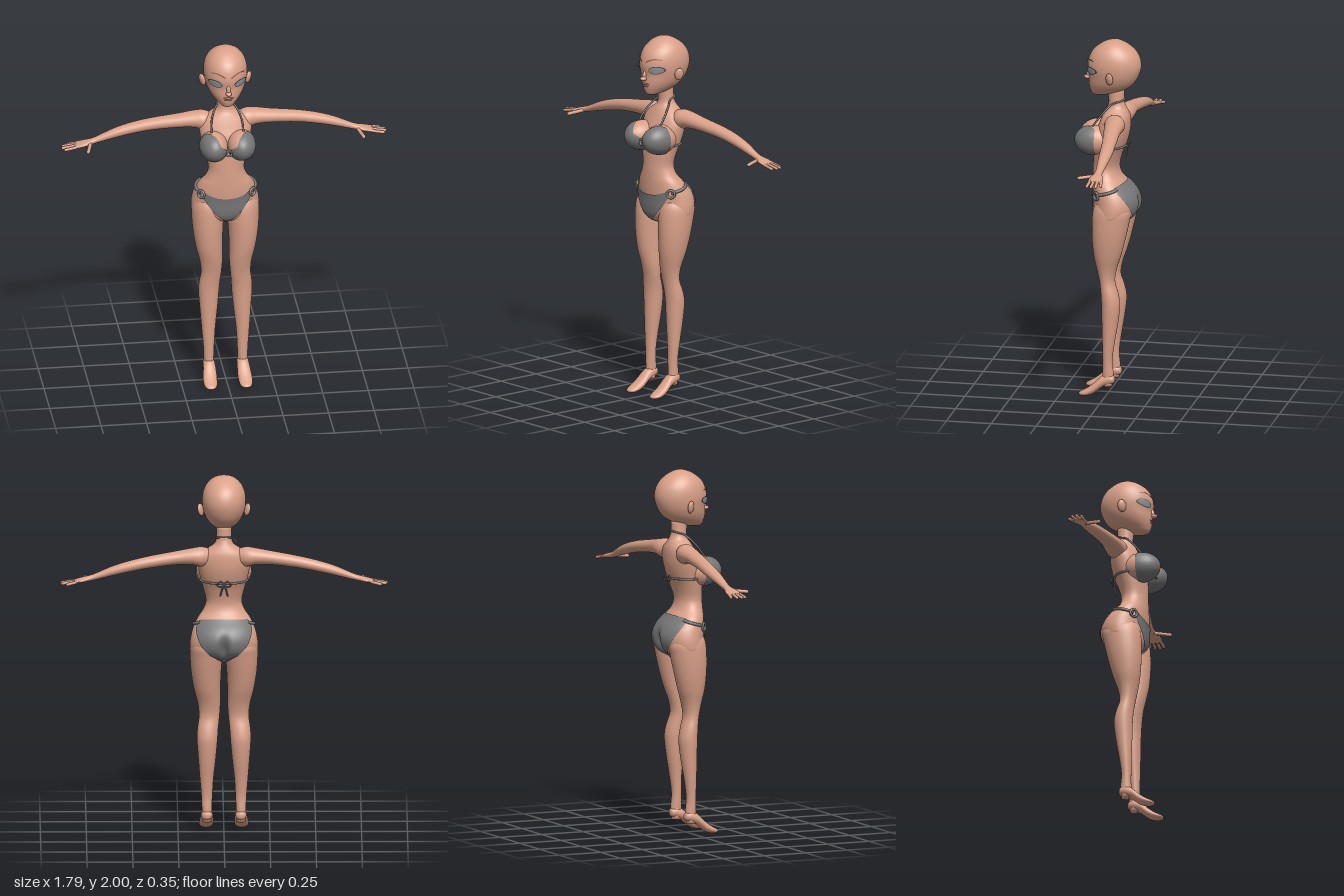
import * as THREE from 'three';

const mat = (name, color, side = THREE.FrontSide) => {
  const m = new THREE.MeshStandardMaterial({ color, side });
  m.name = name;
  return m;
};

// Smooth interpolation through rows [t, centre, halfWidth, front, back]
function sample(rows, t) {
  let i = 0;
  while (i < rows.length - 2 && t > rows[i + 1][0]) i++;
  const A = rows[i], B = rows[i + 1], h = B[0] - A[0], s = (t - A[0]) / h;
  const P = rows[Math.max(i - 1, 0)], N = rows[Math.min(i + 2, rows.length - 1)];
  return [1, 2, 3, 4].map((k) => {
    const m0 = (B[k] - P[k]) / (B[0] - P[0]) * h, m1 = (N[k] - A[k]) / (N[0] - A[0]) * h;
    return (2 * s ** 3 - 3 * s * s + 1) * A[k] + (s ** 3 - 2 * s * s + s) * m0
      + (3 * s * s - 2 * s ** 3) * B[k] + (s ** 3 - s * s) * m1;
  });
}

// Point on an elliptical skin: returns [t, p, q], angle 0 faces front
function skinPoint(rows, t, a, off = 0) {
  const [c, r, f, b] = sample(rows, t);
  const h = (f - b) / 2, sx = Math.sin(a), cz = Math.cos(a);
  const n = Math.hypot(sx * h, cz * r) || 1;
  return [t, c + r * sx + off * sx * h / n, (f + b) / 2 + h * cz + off * cz * r / n];
}

// Grid of points; closed tubes get caps and are turned to face outward
function grid(fn, nu, nv, closed) {
  const pos = [], idx = [], w = closed ? nu : nu + 1;
  for (let j = 0; j <= nv; j++) for (let i = 0; i < w; i++) pos.push(...fn(i / nu, j / nv));
  for (let j = 0; j < nv; j++) for (let i = 0; i < nu; i++) {
    const a = j * w + i, b = j * w + (i + 1) % w, c = a + w, d = b + w;
    idx.push(a, b, d, a, d, c);
  }
  if (closed) {
    for (const j of [0, nv]) {
      const mid = [0, 0, 0], k = pos.length / 3;
      for (let i = 0; i < w; i++) for (let e = 0; e < 3; e++) mid[e] += pos[(j * w + i) * 3 + e] / w;
      pos.push(...mid);
      for (let i = 0; i < w; i++) {
        const a = j * w + i, b = j * w + (i + 1) % w;
        idx.push(k, ...(j ? [a, b] : [b, a]));
      }
    }
    let volume = 0;
    const v = (i) => new THREE.Vector3().fromArray(pos, i * 3);
    for (let i = 0; i < idx.length; i += 3) volume += v(idx[i]).dot(v(idx[i + 1]).cross(v(idx[i + 2])));
    if (volume < 0) idx.reverse();
  }
  const g = new THREE.BufferGeometry();
  g.setAttribute('position', new THREE.Float32BufferAttribute(pos, 3));
  g.setIndex(idx);
  g.computeVertexNormals();
  return g;
}

const TORSO = [
  [0.965, 0, 0.05, 0.02, -0.07], [0.98, 0, 0.12, 0.05, -0.1], [1.01, 0, 0.178, 0.07, -0.14],
  [1.05, 0, 0.186, 0.078, -0.165], [1.1, 0, 0.181, 0.081, -0.169], [1.15, 0, 0.168, 0.085, -0.147],
  [1.2, 0, 0.143, 0.086, -0.1], [1.24, 0, 0.114, 0.086, -0.07], [1.29, 0, 0.098, 0.085, -0.06],
  [1.36, 0, 0.112, 0.083, -0.076], [1.42, 0, 0.128, 0.08, -0.1], [1.48, 0, 0.14, 0.07, -0.115],
  [1.53, 0, 0.143, 0.05, -0.118], [1.57, 0, 0.122, 0.033, -0.115], [1.6, 0, 0.08, 0.018, -0.105],
  [1.62, 0, 0.053, 0.006, -0.096], [1.65, 0, 0.043, 0, -0.086], [1.72, 0, 0.042, 0.01, -0.085]];
const HEAD = [
  [1.685, 0, 0.018, 0.082, 0.03], [1.69, 0, 0.034, 0.092, 0], [1.705, 0, 0.053, 0.1, -0.055],
  [1.73, 0, 0.077, 0.107, -0.11], [1.76, 0, 0.096, 0.11, -0.143], [1.8, 0, 0.111, 0.109, -0.166],
  [1.85, 0, 0.119, 0.116, -0.179], [1.9, 0, 0.115, 0.107, -0.171], [1.94, 0, 0.1, 0.085, -0.146],
  [1.97, 0, 0.076, 0.05, -0.11], [1.985, 0, 0.055, 0.024, -0.083], [1.995, 0, 0.031, -0.004, -0.06],
  [2, 0, 0.002, -0.028, -0.032]];
const LEG = [
  [0.06, 0.093, 0.024, 0.02, -0.038], [0.12, 0.093, 0.027, 0.016, -0.045], [0.2, 0.093, 0.03, 0.015, -0.038],
  [0.3, 0.094, 0.037, 0.017, -0.05], [0.42, 0.092, 0.048, 0.02, -0.07], [0.52, 0.091, 0.056, 0.022, -0.08],
  [0.58, 0.088, 0.057, 0.026, -0.07], [0.65, 0.08, 0.056, 0.035, -0.05], [0.72, 0.081, 0.062, 0.05, -0.06],
  [0.8, 0.091, 0.072, 0.065, -0.086], [0.9, 0.097, 0.082, 0.073, -0.112], [1, 0.097, 0.088, 0.073, -0.134],
  [1.06, 0.099, 0.082, 0.066, -0.14], [1.1, 0.1, 0.06, 0.05, -0.1]];
const FOOT = [
  [-0.052, 0.093, 0.01, 0.106, 0.088], [-0.045, 0.093, 0.024, 0.12, 0.077], [-0.02, 0.093, 0.031, 0.13, 0.068],
  [0.02, 0.093, 0.034, 0.115, 0.05], [0.06, 0.095, 0.038, 0.077, 0.018], [0.09, 0.097, 0.038, 0.052, 0.004],
  [0.12, 0.097, 0.033, 0.033, 0], [0.14, 0.097, 0.021, 0.022, 0.003], [0.147, 0.097, 0.006, 0.015, 0.008]];
const ARM = [
  [0.07, 1.55, 0.04, -0.015, -0.09], [0.12, 1.55, 0.054, 0, -0.114], [0.17, 1.553, 0.046, -0.01, -0.118],
  [0.25, 1.547, 0.038, -0.022, -0.115], [0.4, 1.527, 0.033, -0.045, -0.123], [0.5, 1.507, 0.031, -0.055, -0.127],
  [0.6, 1.481, 0.027, -0.062, -0.122], [0.7, 1.447, 0.018, -0.07, -0.111], [0.73, 1.438, 0.016, -0.066, -0.113],
  [0.77, 1.429, 0.014, -0.051, -0.127], [0.81, 1.42, 0.01, -0.049, -0.131], [0.825, 1.417, 0.005, -0.056, -0.124]];

export function createModel() {
  const root = new THREE.Group();
  root.name = 'figure';
  const skin = mat('skin', 0xd9a088), cloth = mat('swimwear grey', 0x777777, THREE.DoubleSide);
  const eyeMat = mat('eye grey', 0x8c969b, THREE.DoubleSide), lash = mat('lash dark', 0x4c3e3a, THREE.DoubleSide);
  const browMat = mat('brow brown', 0x9a6250, THREE.DoubleSide), lipMat = mat('lip rose', 0xb9786a);

  const add = (name, geo, m) => {
    const mesh = new THREE.Mesh(geo, m);
    mesh.name = name;
    root.add(mesh);
    return mesh;
  };
  const loft = (name, rows, map, nu = 40) => {
    const n = rows.length - 1;
    return add(name, grid((u, v) => {
      const i = Math.min(Math.floor(v * n), n - 1), s = v * n - i;
      const t = rows[i][0] + (rows[i + 1][0] - rows[i][0]) * s;
      return map(...skinPoint(rows, t, u * Math.PI * 2));
    }, nu, n * 4, true), skin);
  };
  const ball = (name, m, [x, y, z], [a, b, c]) => {
    const mesh = add(name, new THREE.SphereGeometry(1, 32, 20), m);
    mesh.position.set(x, y, z);
    mesh.scale.set(a, b, c);
    return mesh;
  };
  const tube = (name, pts, r, m = cloth) => add(name, new THREE.TubeGeometry(
    new THREE.CatmullRomCurve3(pts.map((p) => new THREE.Vector3(...p))), 32, r, 8), m);
  const upright = (t, p, q) => [p, t, q];
  // Buttock crease pressed into the lower back
  const bodyMap = (t, p, q) => [p, t, q + (q < -0.04
    ? 0.035 * Math.exp(-((p / 0.025) ** 2) - ((t - 1.05) / 0.06) ** 2) : 0)];
  const onBody = (y, a, off) => bodyMap(...skinPoint(TORSO, y, a, off));
  const onFace = (x, y, off) => upright(...skinPoint(HEAD, y, Math.asin(x / sample(HEAD, y)[1]), off));

  loft('torso', TORSO, bodyMap, 64);
  loft('head', HEAD, upright, 56);

  // Nose and lips
  ball('noseBridge', skin, [0, 1.802, 0.105], [0.011, 0.032, 0.018]).rotation.x = -0.3;
  ball('noseTip', skin, [0, 1.78, 0.117], [0.016, 0.012, 0.022]);
  ball('upperLip', lipMat, [0, 1.749, 0.104], [0.027, 0.006, 0.013]);
  ball('lowerLip', lipMat, [0, 1.738, 0.102], [0.021, 0.007, 0.013]);

  for (const s of [1, -1]) {
    const side = s > 0 ? 'left' : 'right';
    // Limbs
    loft(side + 'Leg', LEG, (t, p, q) => [s * p, t, q]);
    loft(side + 'Foot', FOOT, (t, p, q) => [s * p, q, t], 28);
    loft(side + 'Arm', ARM, (t, p, q) => [s * t, p, q], 32);
    const digits = [[0.8, 1.422, -0.121, 0.853, 1.41, -0.13], [0.81, 1.422, -0.102, 0.88, 1.411, -0.107],
      [0.81, 1.422, -0.081, 0.885, 1.411, -0.082], [0.8, 1.422, -0.06, 0.873, 1.41, -0.057],
      [0.735, 1.432, -0.07, 0.757, 1.422, 0.01]];
    digits.forEach(([x, y, z, X, Y, Z], i) => {
      const A = new THREE.Vector3(s * x, y, z), B = new THREE.Vector3(s * X, Y, Z);
      const f = add(side + (i < 4 ? 'Finger' + (i + 1) : 'Thumb'),
        new THREE.CapsuleGeometry(i < 4 ? 0.0085 : 0.01, A.distanceTo(B), 4, 10), skin);
      f.position.copy(A).lerp(B, 0.5);
      f.quaternion.setFromUnitVectors(new THREE.Vector3(0, 1, 0), B.sub(A).normalize());
    });

    // Ears, eyes and brows
    const ear = ball(side + 'Ear', skin, [s * 0.127, 1.806, -0.028], [0.013, 0.035, 0.024]);
    ear.rotation.set(-0.15, s * -0.5, s * -0.25);
    const disc = (rx, ry, off) => grid((u, v) => {
      const a = u * Math.PI * 2, x = 0.066 + rx * v * Math.cos(a);
      return onFace(s * x, 1.833 + ry * v * Math.sin(a) + 0.12 * (x - 0.066), off);
    }, 32, 6);
    add(side + 'EyeRim', disc(0.035, 0.022, 0.003), lash);
    add(side + 'Eye', disc(0.031, 0.018, 0.006), eyeMat);
    add(side + 'Brow', grid((u, v) => onFace(s * (0.016 + 0.073 * u),
      1.874 + 0.02 * Math.sin(u * 2.3) + (v - 0.5) * 0.012 * (1 - 0.7 * u), 0.005), 16, 2), browMat);

    // Bust and cup, cut away toward the cleavage
    const C = [s * 0.075, 1.445, 0.065], R = [0.076, 0.08, 0.105];
    ball(side + 'Breast', skin, C, R);
    add(side + 'Cup', grid((u, v) => {
      const a = u * Math.PI * 2, d = Math.cos(a - 2.45);
      const th = v * (1.68 - 1.1 * Math.max(0, d) ** 1.6);
      return [C[0] + s * R[0] * 1.055 * Math.sin(th) * Math.cos(a),
        C[1] + R[1] * 1.055 * Math.sin(th) * Math.sin(a), C[2] + R[2] * 1.05 * Math.cos(th)];
    }, 56, 16), cloth);

    // Straps
    tube(side + 'NeckStrap', [[s * 0.088, 1.525, 0.072], [s * 0.085, 1.57, 0.04], [s * 0.07, 1.615, 0.002],
      [s * 0.049, 1.645, -0.03], [s * 0.036, 1.66, -0.075], [0, 1.665, -0.09]], 0.005);
    const along = (a0, a1, y0, y1, off) => Array.from({ length: 9 }, (_, i) =>
      onBody(y0 + (y1 - y0) * i / 8, s * (a0 + (a1 - a0) * i / 8), off));
    tube(side + 'BackStrap', along(1.05, Math.PI, 1.41, 1.405, 0.003), 0.006);
    tube(side + 'HipStrap', along(0.95, 2.15, 1.15, 1.185, 0.004), 0.009);
    const ring = add(side + 'HipRing', new THREE.TorusGeometry(0.021, 0.007, 10, 24), cloth);
    ring.position.set(...onBody(1.145, s * 0.93, 0.008));
    ring.rotation.y = s * 0.75;
    // Bow at the back
    tube(side + 'BowLoop', [[0, 1.405, -0.1], [s * 0.02, 1.42, -0.11], [s * 0.038, 1.4, -0.112],
      [s * 0.02, 1.39, -0.11], [0, 1.402, -0.104]], 0.004);
    tube(side + 'BowTail', [[0, 1.405, -0.102], [s * 0.012, 1.37, -0.1], [s * 0.02, 1.335, -0.092]], 0.004);
  }

  // Centre ring between the cups
  add('bustRing', new THREE.TorusGeometry(0.016, 0.006, 10, 24), cloth).position.set(0, 1.425, 0.13);

  // Brief: front panel, back panel and gusset
  const panel = (name, centre, half, top, bottom) => add(name, grid((u, v) => {
    const k = u * 2 - 1, b = bottom(Math.abs(k)), t = top(Math.abs(k));
    return onBody(b + (t - b) * v, centre + k * half, 0.007);
  }, 48, 20), cloth);
  panel('briefFront', 0, 0.85, (k) => 1.128 + 0.035 * k * k, (k) => 0.97 + 0.168 * k ** 1.1);
  panel('briefBack', Math.PI, 1.1, (k) => 1.208 - 0.012 * k * k, (k) => 0.97 + 0.19 * k ** 1.5);
  ball('briefGusset', cloth, [0, 0.978, -0.025], [0.032, 0.018, 0.075]);
  return root;
}
